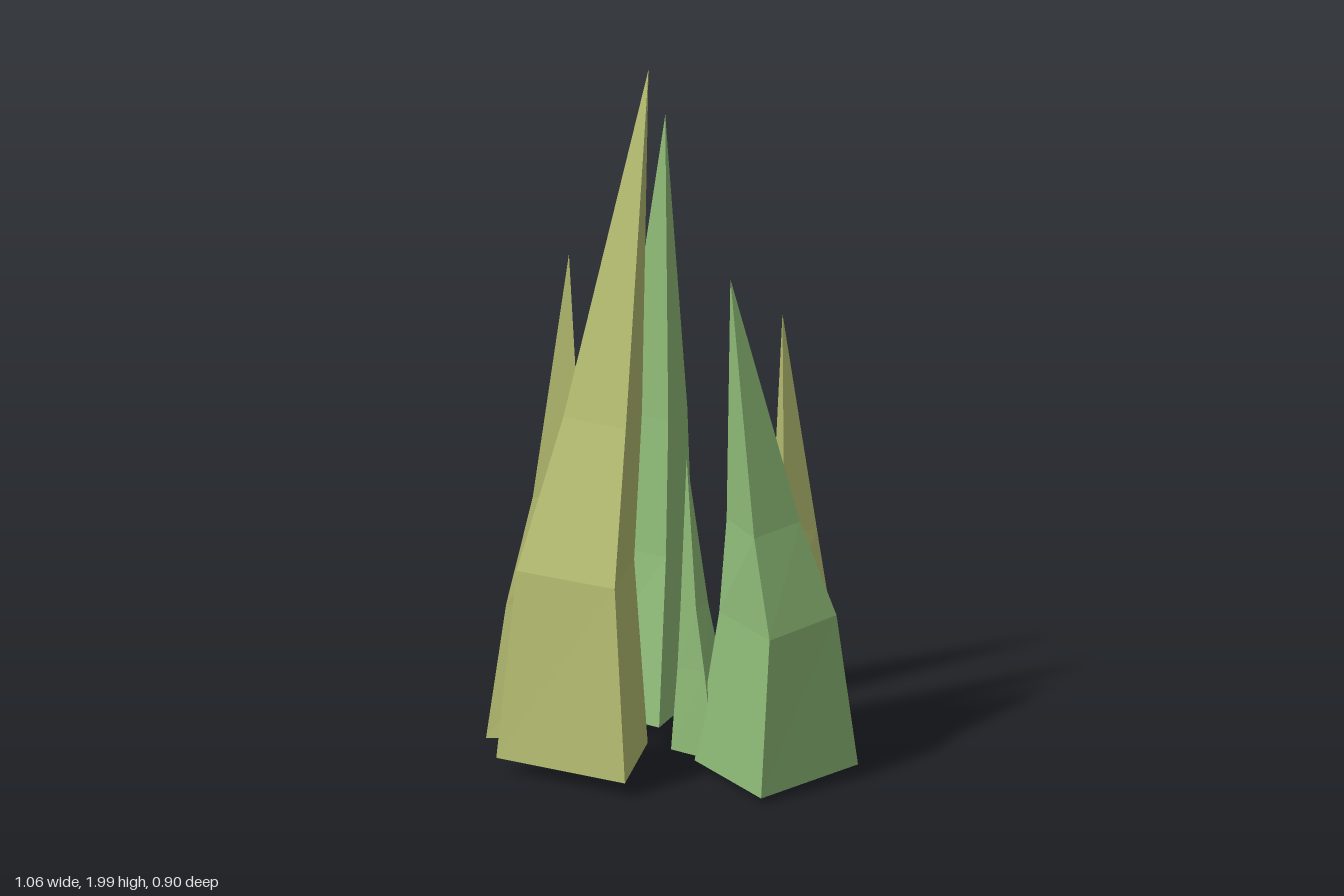
import * as THREE from 'three';

// Three-sided blade: stacked triangular rings [y, [x,z], [x,z], [x,z]] closed by a pointed tip and a flat base.
function bladeGeometry(rings, tip) {
  const [p, q, r] = rings[0].slice(1);
  const up = (q[1] - p[1]) * (r[0] - p[0]) - (q[0] - p[0]) * (r[1] - p[1]);
  const order = up > 0 ? [0, 1, 2] : [0, 2, 1]; // counter-clockwise from above
  const loops = rings.map(([y, ...c]) => order.map(i => [c[i][0], y, c[i][1]]));
  const pos = [];
  const tri = (a, b, c) => pos.push(...a, ...b, ...c);
  loops.forEach((low, k) => {
    const high = loops[k + 1];
    for (let i = 0; i < 3; i++) {
      const j = (i + 1) % 3;
      if (high) {
        tri(low[i], low[j], high[j]);
        tri(low[i], high[j], high[i]);
      } else tri(low[i], low[j], tip);
    }
  });
  tri(loops[0][2], loops[0][1], loops[0][0]);
  const g = new THREE.BufferGeometry();
  g.setAttribute('position', new THREE.Float32BufferAttribute(pos, 3));
  g.computeVertexNormals();
  return g;
}

export function createModel() {
  const group = new THREE.Group();
  const green = new THREE.MeshStandardMaterial({ color: 0x8fbc78, flatShading: true });
  const olive = new THREE.MeshStandardMaterial({ color: 0xb4bc70, flatShading: true });

  const blades = [
    { name: 'frontBlade', mat: olive, tip: [0.02, 1.99, 0.11], rings: [
      [0.04, [-0.24, 0.447], [0.21, 0.404], [-0.05, 0.04]],
      [0.58, [-0.185, 0.424], [0.15, 0.382], [-0.035, 0.11]],
      [1.01, [-0.115, 0.31], [0.1, 0.285], [-0.005, 0.11]]] },
    { name: 'backRightBlade', mat: green, tip: [-0.25, 1.745, -0.24], rings: [
      [0.04, [-0.32, -0.45], [-0.53, -0.115], [-0.14, -0.1]],
      [0.5, [-0.32, -0.42], [-0.467, -0.174], [-0.195, -0.185]],
      [0.88, [-0.285, -0.365], [-0.385, -0.2], [-0.21, -0.21]]] },
    { name: 'rightBlade', mat: olive, tip: [-0.305, 1.4, 0.088], rings: [
      [0.04, [-0.45, 0], [-0.41, 0.31], [-0.16, 0.12]],
      [0.41, [-0.435, 0.014], [-0.4, 0.24], [-0.22, 0.097]],
      [0.71, [-0.385, 0.045], [-0.365, 0.17], [-0.25, 0.09]]] },
    { name: 'leftBlade', mat: green, tip: [0.18, 1.39, -0.05], rings: [
      [0.015, [0.467, -0.26], [0.53, 0.194], [0.11, 0.02]],
      [0.45, [0.447, -0.195], [0.505, 0.134], [0.185, 0]],
      [0.71, [0.355, -0.145], [0.39, 0.075], [0.18, -0.035]]] },
    { name: 'backLeftBlade', mat: olive, tip: [0.15, 1.24, -0.29], rings: [
      [0, [0, -0.3], [0.235, -0.43], [0.225, -0.163]],
      [0.35, [0.05, -0.316], [0.23, -0.405], [0.22, -0.21]],
      [0.62, [0.09, -0.31], [0.205, -0.37], [0.195, -0.25]]] },
    { name: 'smallBlade', mat: green, tip: [0.07, 0.87, 0.01], rings: [
      [0.03, [0.11, -0.125], [0.02, 0.02], [0.19, 0.025]],
      [0.27, [0.105, -0.09], [0.04, 0.015], [0.15, 0.022]],
      [0.45, [0.095, -0.05], [0.05, 0.013], [0.115, 0.02]]] },
  ];

  for (const { name, mat, tip, rings } of blades) {
    const mesh = new THREE.Mesh(bladeGeometry(rings, tip), mat);
    mesh.name = name;
    group.add(mesh);
  }
  return group;
}
